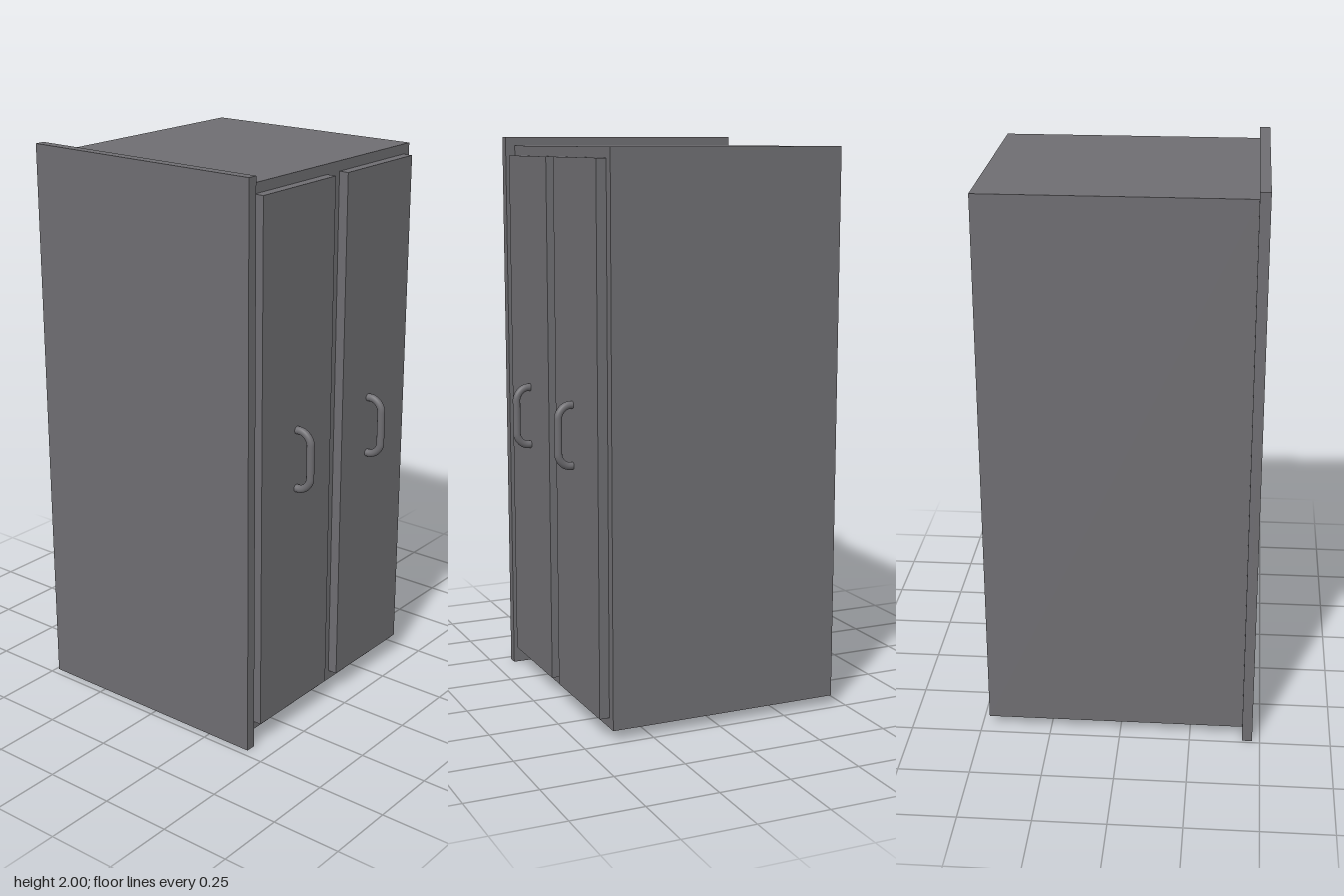
import * as THREE from 'three';

const material = new THREE.MeshStandardMaterial({ color: 0x6e6d71 });

// Box given by its minimum and maximum corners
function box(name, [x0, y0, z0], [x1, y1, z1]) {
  const mesh = new THREE.Mesh(new THREE.BoxGeometry(x1 - x0, y1 - y0, z1 - z0), material);
  mesh.position.set((x0 + x1) / 2, (y0 + y1) / 2, (z0 + z1) / 2);
  mesh.name = name;
  return mesh;
}

// Bow handle: two short legs joined by rounded corners to a vertical grip
function handle(name, y, z) {
  const half = 0.105, reach = 0.054, bend = 0.044;
  const p = (x, h) => new THREE.Vector3(x, h, -0.09 * x);
  const path = new THREE.CurvePath();
  path.add(new THREE.LineCurve3(p(-0.005, half), p(reach - bend, half)));
  path.add(new THREE.CubicBezierCurve3(
    p(reach - bend, half), p(reach - bend * 0.45, half),
    p(reach, half - bend * 0.55), p(reach, half - bend)));
  path.add(new THREE.LineCurve3(p(reach, half - bend), p(reach, bend - half)));
  path.add(new THREE.CubicBezierCurve3(
    p(reach, bend - half), p(reach, bend * 0.55 - half),
    p(reach - bend * 0.45, -half), p(reach - bend, -half)));
  path.add(new THREE.LineCurve3(p(reach - bend, -half), p(-0.005, -half)));
  const mesh = new THREE.Mesh(new THREE.TubeGeometry(path, 64, 0.0135, 16), material);
  mesh.position.set(0.422, y, z);
  mesh.name = name;
  return mesh;
}

export function createModel() {
  const group = new THREE.Group();
  group.name = 'cabinet';

  // Carcass and the larger end panel
  group.add(box('carcass', [-0.455, 0.035, -0.474], [0.387, 1.968, 0.437]));
  group.add(box('endPanel', [-0.49, 0, 0.437], [0.422, 2, 0.473]));

  // Two raised doors, each with a handle
  [['front', 0.016, 0.401, 0.21], ['rear', -0.44, -0.054, -0.212]].forEach(([side, z0, z1, hz]) => {
    const door = new THREE.Group();
    door.name = side + 'Door';
    door.add(box(side + 'DoorPanel', [0.387, 0.07, z0], [0.422, 1.933, z1]));
    door.add(handle(side + 'DoorHandle', 1.003, hz));
    group.add(door);
  });

  return group;
}
